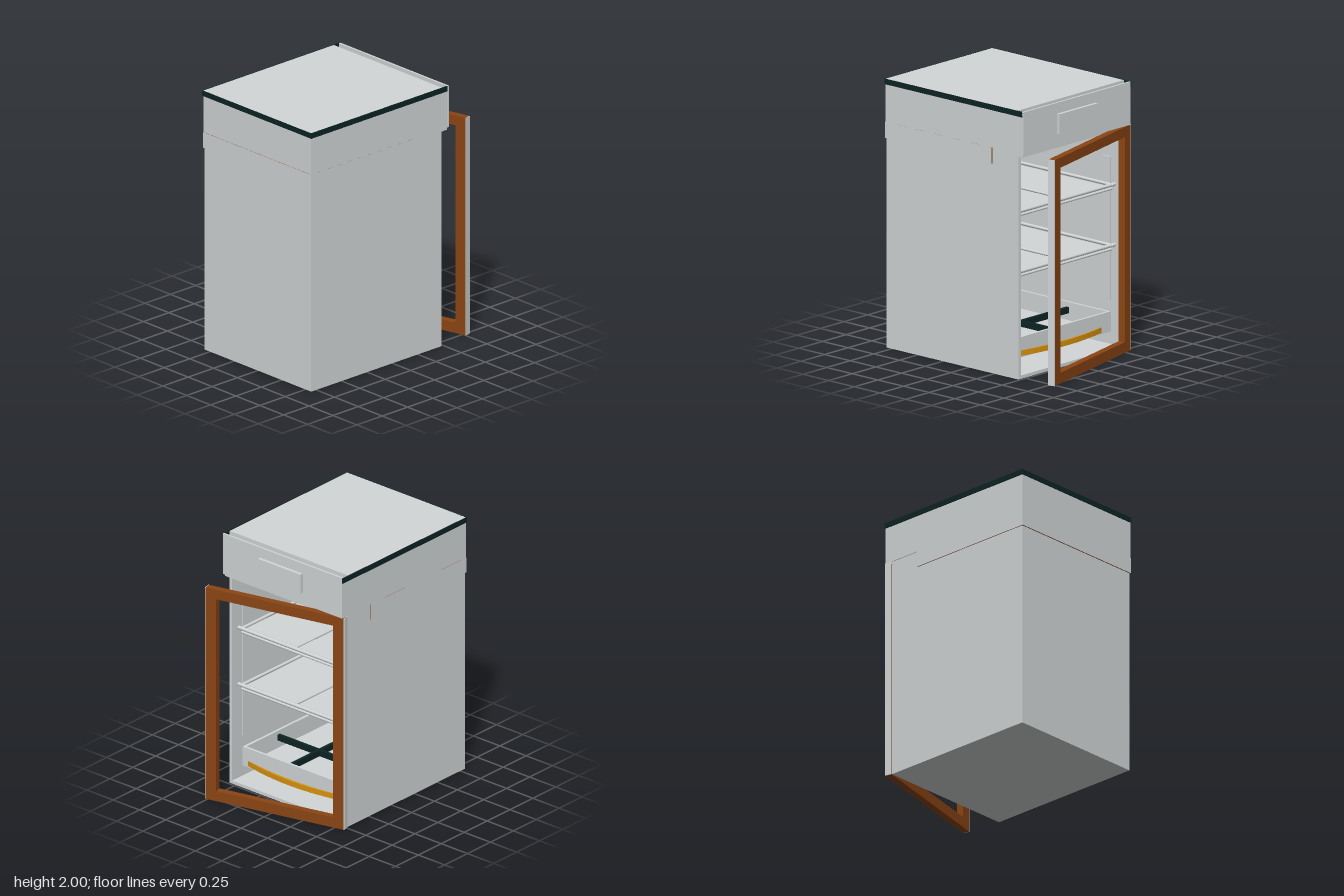
import * as THREE from 'three';

export function createModel() {
  const model = new THREE.Group();
  const mat = (name, color) => {
    const m = new THREE.MeshStandardMaterial({ color });
    m.name = name;
    return m;
  };
  const grey = mat('pale grey', 0xd3d7d7);
  const brown = mat('saddle brown', 0x8b4513);
  const dark = mat('dark slate', 0x0d2424);
  const gold = mat('golden yellow', 0xd9930f);

  // Box given by its limits on each axis
  function box(name, [x0, x1], [y0, y1], [z0, z1], material, parent = model) {
    const mesh = new THREE.Mesh(new THREE.BoxGeometry(x1 - x0, y1 - y0, z1 - z0), material);
    mesh.position.set((x0 + x1) / 2, (y0 + y1) / 2, (z0 + z1) / 2);
    mesh.name = name;
    parent.add(mesh);
    return mesh;
  }
  function rod(name, from, to, radius, material, parent = model) {
    const path = new THREE.LineCurve3(new THREE.Vector3(...from), new THREE.Vector3(...to));
    const mesh = new THREE.Mesh(new THREE.TubeGeometry(path, 1, radius, 10), material);
    mesh.name = name;
    parent.add(mesh);
  }
  function group(name) {
    const g = new THREE.Group();
    g.name = name;
    model.add(g);
    return g;
  }

  // Cabinet shell, open towards +x
  const cabinet = group('cabinet');
  box('floor', [-0.8, 0.485], [0, 0.025], [-0.56, 0.56], grey, cabinet);
  box('ceiling', [-0.8, 0.485], [1.66, 1.68], [-0.56, 0.56], grey, cabinet);
  box('closedWall', [-0.8, -0.775], [0.025, 1.66], [-0.56, 0.56], grey, cabinet);
  for (const s of [-1, 1]) {
    const z = s > 0 ? [0.535, 0.56] : [-0.56, -0.535];
    box('sideWall', [-0.775, 0.485], [0.025, 1.66], z, grey, cabinet);
    // Shelf support strip on the inner wall
    const strip = s > 0 ? [0.525, 0.535] : [-0.535, -0.525];
    box('supportStrip', [0.3, 0.38], [0.35, 1.42], strip, grey, cabinet);
  }

  // Cooling box: brown inside the cabinet, pale where it meets the outside
  box('coolingBox', [-0.808, 0.23], [1.56, 1.68], [-0.566, 0.566],
    [brown, grey, brown, brown, grey, grey]);

  // Top drawer block with a groove behind its front panel
  const top = group('topBlock');
  box('topBody', [-0.805, 0.48], [1.68, 2], [-0.565, 0.565], grey, top);
  box('grooveFloor', [0.48, 0.53], [1.66, 1.96], [-0.565, 0.565], grey, top);
  box('frontPanel', [0.53, 0.545], [1.68, 2], [-0.565, 0.572], grey, top);
  box('drawerPlate', [0.545, 0.57], [1.77, 1.92], [-0.19, 0.215], grey, top);

  // Dark trim along the upper edge
  box('trimFront', [-0.81, 0.543], [1.96, 2], [0.564, 0.572], dark, top);
  box('trimBack', [-0.81, 0.547], [1.96, 2], [-0.572, -0.564], dark, top);
  box('trimSide', [-0.81, -0.802], [1.96, 2], [-0.572, 0.572], dark, top);

  // Shelves: flat plate with a round rail along the edges
  for (const y of [0.755, 1.205]) {
    const shelf = group('shelf');
    box('shelfPlate', [-0.77, 0.42], [y - 0.012, y], [-0.5, 0.5], grey, shelf);
    const yr = y + 0.018;
    rod('frontRail', [0.42, yr, -0.53], [0.42, yr, 0.53], 0.014, grey, shelf);
    rod('lowerRail', [0.42, y - 0.01, -0.5], [0.42, y - 0.01, 0.5], 0.009, grey, shelf);
    for (const z of [-0.5, 0.5]) rod('sideRail', [-0.77, yr, z], [0.44, yr, z], 0.012, grey, shelf);
    rod('middleRail', [-0.77, yr, 0], [0.42, yr, 0], 0.01, grey, shelf);
  }

  // Bottom bin
  const bin = group('bin');
  box('binFront', [0.39, 0.41], [0.13, 0.28], [-0.5, 0.5], grey, bin);
  box('binBase', [-0.7, 0.39], [0.13, 0.145], [-0.5, 0.5], grey, bin);
  box('binRear', [-0.7, -0.68], [0.145, 0.28], [-0.5, 0.5], grey, bin);
  for (const z of [-0.49, 0.49])
    box('binSide', [-0.68, 0.39], [0.145, 0.28], [z - 0.01, z + 0.01], grey, bin);
  // Dark dividers in the bin
  box('longDivider', [-0.5, 0.38], [0.22, 0.265], [0.06, 0.085], dark, bin);
  box('crossDivider', [0.05, 0.075], [0.22, 0.265], [-0.42, 0.46], dark, bin);

  // Bowed handle: flat strip following an arc
  const arc = new THREE.Shape();
  arc.moveTo(0.41, 0.45);
  arc.quadraticCurveTo(0.51, 0.02, 0.41, -0.4);
  arc.lineTo(0.41, -0.37);
  arc.quadraticCurveTo(0.475, 0.02, 0.41, 0.42);
  const handle = new THREE.Mesh(
    new THREE.ExtrudeGeometry(arc, { depth: 0.04, bevelEnabled: false, curveSegments: 16 }), gold);
  handle.rotation.x = Math.PI / 2;
  handle.position.y = 0.18;
  handle.name = 'binHandle';
  bin.add(handle);

  // Open door: a frame swung out about its rear edge
  const door = group('door');
  door.position.set(0.487, 0, -0.56);
  door.rotation.y = 0.236;
  const length = 1.118, height = 1.68, stile = 0.085, thick = 0.052;
  const frame = new THREE.Shape();
  frame.moveTo(0, 0);
  frame.lineTo(length, 0);
  frame.lineTo(length, height);
  frame.lineTo(0, height);
  frame.closePath();
  const opening = new THREE.Path();
  opening.moveTo(stile, 0.08);
  opening.lineTo(stile, 1.605);
  opening.lineTo(length - stile, 1.605);
  opening.lineTo(length - stile, 0.08);
  opening.closePath();
  frame.holes.push(opening);
  const frameMesh = new THREE.Mesh(
    new THREE.ExtrudeGeometry(frame, { depth: thick, bevelEnabled: false }), brown);
  frameMesh.rotation.y = -Math.PI / 2;
  frameMesh.position.x = thick;
  frameMesh.name = 'doorFrame';
  door.add(frameMesh);
  // Pale edge strips at both ends of the door
  box('doorFrontEdge', [0, thick], [0, height], [length, length + 0.005], grey, door);
  box('doorHingeEdge', [0, thick], [0, height], [-0.005, 0], grey, door);

  return model;
}
